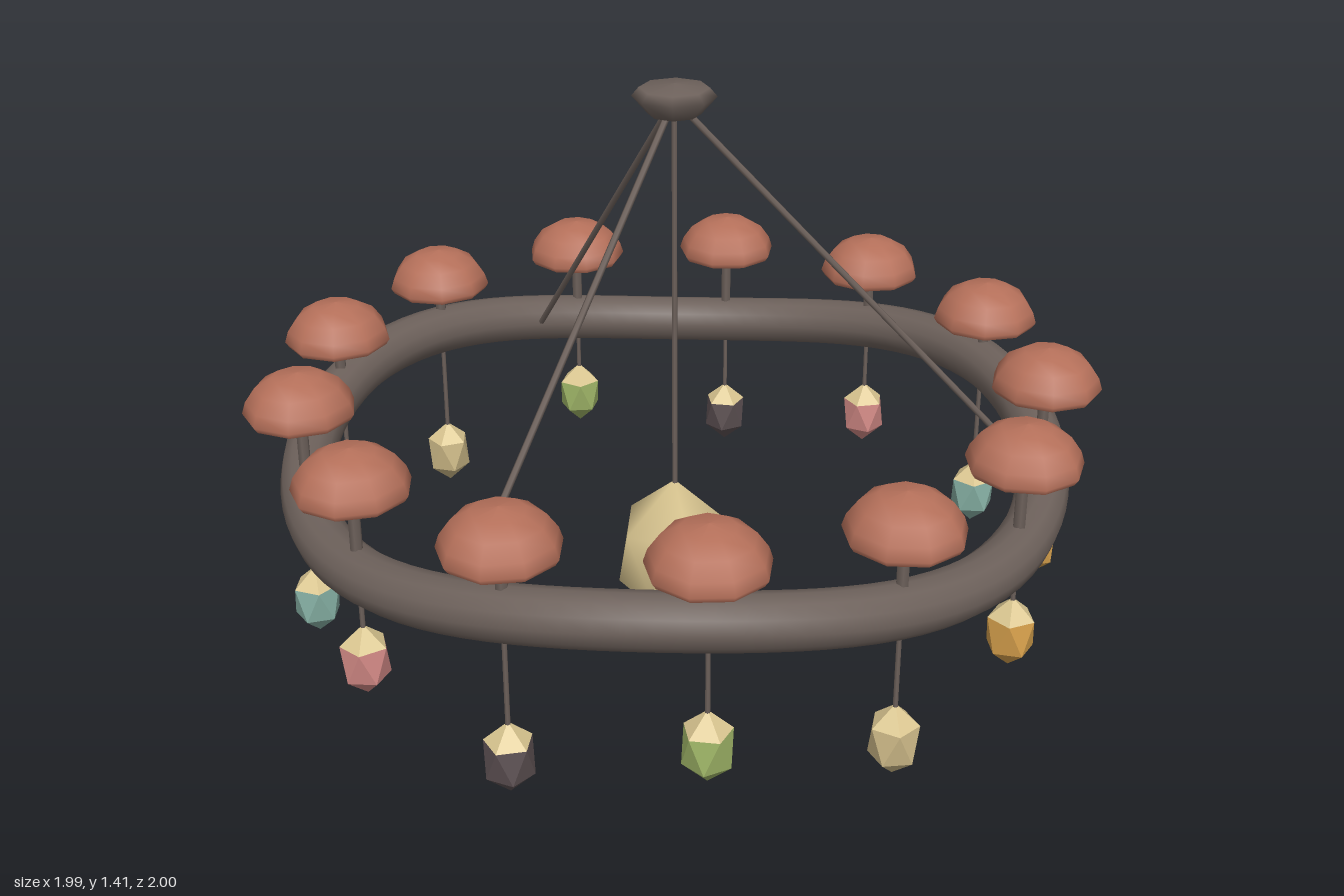
import * as THREE from 'three';
import { mergeVertices } from 'three/addons/utils/BufferGeometryUtils.js';

const mat = (name, color, flatShading = false) => {
  const m = new THREE.MeshStandardMaterial({ color, flatShading });
  m.name = name;
  return m;
};
const V = (x, y, z) => new THREE.Vector3(x, y, z);

const COUNT = 13, RADIUS = 0.88;
const ringY = a => 0.5125 - 0.045 * Math.sin(3 * a);

function add(parent, name, geometry, material, x = 0, y = 0, z = 0) {
  const m = new THREE.Mesh(geometry, material);
  m.name = name;
  m.position.set(x, y, z);
  parent.add(m);
  return m;
}

// thin straight rod between two points
function rod(parent, name, a, b, r, material) {
  const g = new THREE.TubeGeometry(new THREE.LineCurve3(a, b), 1, r, 6);
  return add(parent, name, g, material);
}

// five-sided gem: top point, two staggered rings, bottom point; group 0 is the top cap
function gemGeometry(r, half, ring) {
  const pos = [];
  const up = i => [r * Math.cos(i * 0.4 * Math.PI), ring, r * Math.sin(i * 0.4 * Math.PI)];
  const low = i => [r * Math.cos((i + 0.5) * 0.4 * Math.PI), -ring, r * Math.sin((i + 0.5) * 0.4 * Math.PI)];
  for (let i = 0; i < 5; i++) pos.push(...[0, half, 0], ...up(i + 1), ...up(i));
  for (let i = 0; i < 5; i++) {
    pos.push(...up(i), ...up(i + 1), ...low(i));
    pos.push(...up(i + 1), ...low(i + 1), ...low(i));
    pos.push(...low(i), ...low(i + 1), ...[0, -half, 0]);
  }
  const g = new THREE.BufferGeometry();
  g.setAttribute('position', new THREE.Float32BufferAttribute(pos, 3));
  g.addGroup(0, 15, 0);
  g.addGroup(15, 45, 1);
  g.computeVertexNormals();
  return g;
}

export function createModel() {
  const root = new THREE.Group();
  root.name = 'mushroomChandelier';
  const body = new THREE.Group();
  body.name = 'chandelier';
  body.position.x = -0.015;
  root.add(body);

  const bark = mat('bark brown', 0x6d615b);
  const terracotta = mat('terracotta', 0xb5705a);
  const cream = mat('cream', 0xdcc892);
  const gems = [
    mat('amber', 0xd6a04c, true), mat('teal', 0x86b0a4, true), mat('rose', 0xd08884, true),
    mat('charcoal', 0x5c5052, true), mat('moss green', 0x9db366, true), mat('sand', 0xcdb987, true),
  ];

  // wavy ring
  const path = [];
  for (let i = 0; i < 48; i++) {
    const a = i / 48 * Math.PI * 2;
    path.push(V(RADIUS * Math.cos(a), ringY(a), RADIUS * Math.sin(a)));
  }
  add(body, 'ring', new THREE.TubeGeometry(new THREE.CatmullRomCurve3(path, true), 96, 0.062, 12, true), bark);

  // ceiling mount
  const mount = new THREE.LatheGeometry(
    [[0, 1.335], [0.06, 1.337], [0.097, 1.378], [0.08, 1.398], [0, 1.408]].map(p => new THREE.Vector2(...p)), 8);
  add(body, 'ceilingMount', mount, bark);

  // three suspension rods and the centre rod
  for (let i = 0; i < 3; i++) {
    const a = i * Math.PI * 2 / 3;
    rod(body, 'suspensionRod', V(0.01 * Math.cos(a), 1.36, 0.01 * Math.sin(a)),
      V(0.8 * Math.cos(a), 0.53, 0.8 * Math.sin(a)), 0.008, bark);
  }
  rod(body, 'centreRod', V(0, 1.36, 0), V(0, 0.39, 0), 0.007, bark);

  // large smooth centre gem
  const big = gemGeometry(0.14, 0.204, 0.085);
  big.deleteAttribute('normal');
  big.clearGroups();
  const smooth = mergeVertices(big);
  smooth.computeVertexNormals();
  add(body, 'centreGem', smooth, cream, 0, 0.206, 0);

  // mushrooms above the ring, gems hanging below it
  const pts = list => list.map(p => new THREE.Vector2(...p));
  const capGeo = new THREE.LatheGeometry(pts(
    [[0.122, 0.67], [0.131, 0.684], [0.122, 0.712], [0.098, 0.746], [0.058, 0.77], [0, 0.779]]), 9);
  const gillGeo = new THREE.LatheGeometry(pts([[0, 0.68], [0.122, 0.67]]), 9);
  const gemGeo = gemGeometry(0.055, 0.088, 0.039);
  const gemCap = mat('pale cream', 0xdcc892, true);

  for (let i = 0; i < COUNT; i++) {
    const a = -i / COUNT * Math.PI * 2;
    const unit = new THREE.Group();
    unit.name = 'mushroomAndPendant';
    unit.position.set(RADIUS * Math.cos(a), 0, RADIUS * Math.sin(a));
    body.add(unit);

    const y = ringY(a), gemY = i % 2 ? 0.18 : 0.257;
    rod(unit, 'mushroomStem', V(0, y, 0), V(0, 0.69, 0), 0.014, bark);
    add(unit, 'mushroomCap', capGeo, terracotta).rotation.y = i * 1.3;
    add(unit, 'mushroomUnderside', gillGeo, bark).rotation.y = i * 1.3;
    rod(unit, 'pendantCord', V(0, y, 0), V(0, gemY + 0.08, 0), 0.006, bark);
    add(unit, 'pendantGem', gemGeo, [gemCap, gems[i % 6]], 0, gemY, 0).rotation.y = i * 0.9;
  }
  return root;
}
